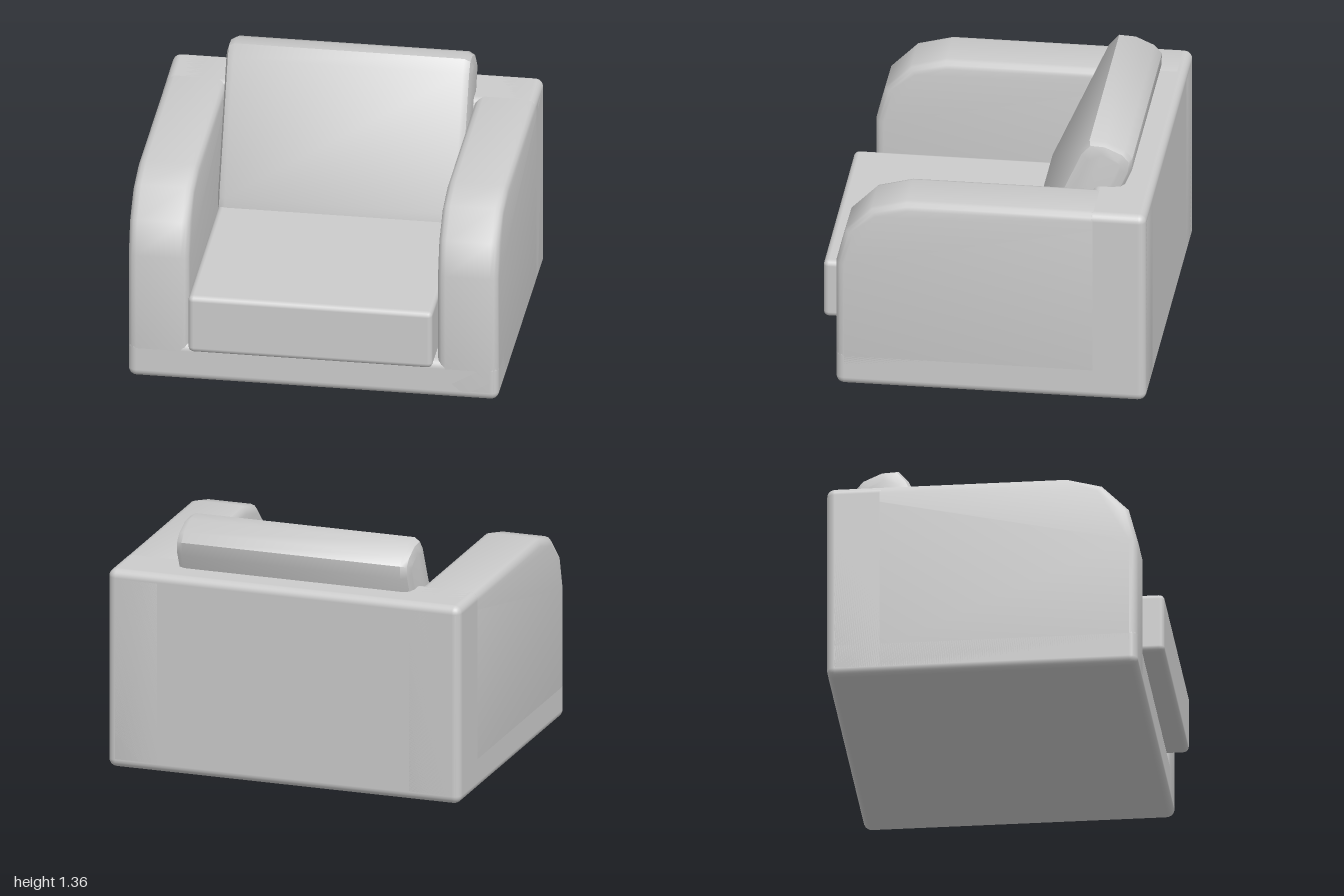
import * as THREE from 'three';
import { RoundedBoxGeometry } from 'three/addons/geometries/RoundedBoxGeometry.js';
import { toCreasedNormals } from 'three/addons/utils/BufferGeometryUtils.js';

const R = 0.045; // edge rounding of the frame
const material = new THREE.MeshStandardMaterial({ color: 0xcccccc });

// Rounded box given by its min and max corners
function roundedBox(name, min, max, radius, segments) {
  const size = max.map((v, i) => v - min[i]);
  const mesh = new THREE.Mesh(new RoundedBoxGeometry(...size, segments, radius), material);
  mesh.position.set(...max.map((v, i) => (v + min[i]) / 2));
  mesh.name = name;
  return mesh;
}

// Side profile (z, y) extruded across x, centred, with bevelled ends
function sideExtrude(name, shape, width, bevelSize, bevelThickness, bevelSegments) {
  const depth = width - 2 * bevelThickness;
  const geo = new THREE.ExtrudeGeometry(shape, {
    depth, bevelEnabled: true, bevelSize, bevelThickness, bevelSegments,
    bevelOffset: -bevelSize, curveSegments: 3,
  });
  geo.translate(0, 0, -depth / 2);
  geo.rotateY(-Math.PI / 2);
  const mesh = new THREE.Mesh(toCreasedNormals(geo, 0.7), material);
  mesh.name = name;
  return mesh;
}

// Arm outline: square at the back, faceted curve at the front top
function armShape() {
  const r = 0.05, back = -0.89, front = 0.78, top = 1.11;
  const s = new THREE.Shape();
  s.moveTo(back + r, 0);
  s.lineTo(front - r, 0);
  s.absarc(front - r, r, r, -Math.PI / 2, 0, false);
  s.lineTo(front, 0.73);
  s.lineTo(0.73, 0.92);
  s.lineTo(0.59, 1.06);
  s.lineTo(0.40, top);
  s.lineTo(back + r, top);
  s.absarc(back + r, top - r, r, Math.PI / 2, Math.PI, false);
  s.lineTo(back, r);
  s.absarc(back + r, r, r, Math.PI, Math.PI * 1.5, false);
  return s;
}

// Plump cushion outline: x is thickness, y is height before leaning
function cushionShape() {
  const topHalf = [[0.085, 1.383], [0.06, 1.463], [-0.024, 1.495],
    [-0.134, 1.495], [-0.19, 1.468], [-0.216, 1.40]];
  const bottomHalf = topHalf.map(([n, u]) => [n, 2.02 - u]).reverse();
  return new THREE.Shape([...topHalf, ...bottomHalf].map(([n, u]) => new THREE.Vector2(n, u)));
}

export function createModel() {
  const group = new THREE.Group();
  group.name = 'armchair';

  // Frame: base, backrest and two arms
  group.add(roundedBox('base', [-1, 0, -0.89], [1, 0.22, 0.78], R, 3));
  group.add(roundedBox('backrest', [-1, 0, -0.89], [1, 1.11, -0.56], R, 3));
  for (const side of [-1, 1]) {
    const arm = sideExtrude(side > 0 ? 'leftArm' : 'rightArm', armShape(), 0.33, R, R, 3);
    arm.position.x = side * 0.835;
    group.add(arm);
  }

  // Seat cushion, projecting past the arms
  group.add(roundedBox('seatCushion', [-0.66, 0.225, -0.6], [0.66, 0.56, 0.89], 0.03, 2));

  // Back cushion, leaning over the backrest
  const cushion = sideExtrude('backCushion', cushionShape(), 1.33, 0.06, 0.045, 2);
  cushion.rotation.x = -THREE.MathUtils.degToRad(24);
  group.add(cushion);

  return group;
}
